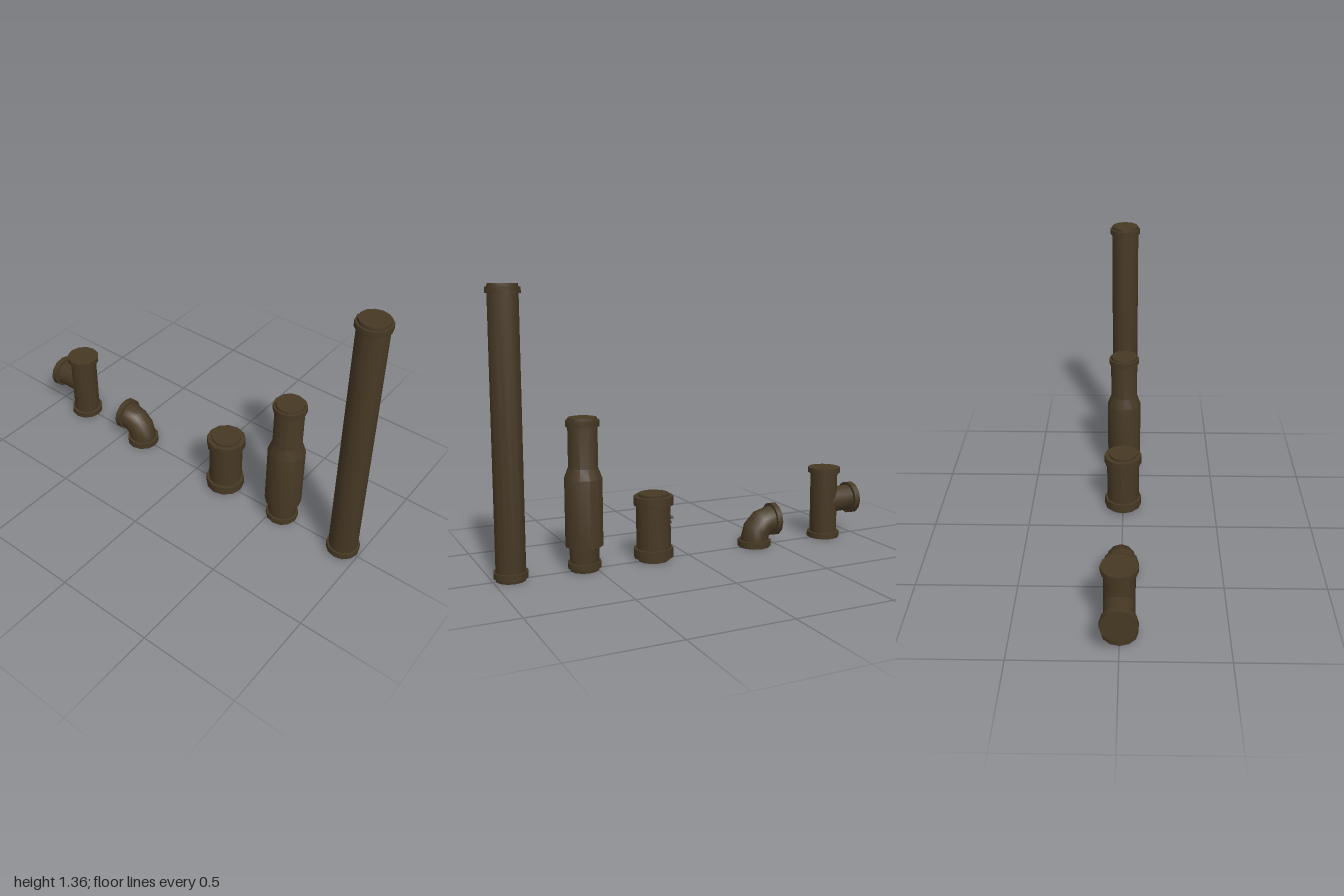
import * as THREE from 'three';
import { toCreasedNormals } from 'three/addons/utils/BufferGeometryUtils.js';

const SIDES = 12;

export function createModel() {
  const model = new THREE.Group();
  model.name = 'pipeSet';
  const iron = new THREE.MeshStandardMaterial({ color: 0x463824 });
  iron.name = 'darkBrownIron';

  const group = (name, z) => {
    const g = new THREE.Group();
    g.name = name;
    g.position.z = z;
    model.add(g);
    return g;
  };
  const add = (parent, name, geometry, y = 0, z = 0) => {
    const mesh = new THREE.Mesh(geometry, iron);
    mesh.name = name;
    mesh.position.set(0, y, z);
    parent.add(mesh);
    return mesh;
  };
  // Closed turned solid from [radius, height] pairs, listed bottom to top
  const turned = (profile, sides = SIDES) => {
    const top = profile[profile.length - 1][1];
    const points = [[0, profile[0][1]], ...profile, [0, top]];
    const lathe = new THREE.LatheGeometry(points.map(([r, y]) => new THREE.Vector2(r, y)), sides);
    return toCreasedNormals(lathe, 0.6);
  };
  // The same solid lying down, pointing to the back
  const turnedBack = (profile, sides) => turned(profile, sides).rotateX(-Math.PI / 2);
  // Raised ring around a pipe
  const collar = (r, y0, y1) => turned([[r, y0], [r, y1]]);

  // Long straight pipe
  const long = group('longPipe', 0.915);
  add(long, 'pipe', turned([[0.07, 0], [0.072, 0.015], [0.072, 1.345], [0.07, 1.36]]));
  add(long, 'bottomCollar', collar(0.082, 0.015, 0.045));
  add(long, 'topCollar', collar(0.082, 1.317, 1.345));

  // Medium pipe with a thick sleeve that tapers into the neck
  const sleeved = group('sleevedPipe', 0.555);
  add(sleeved, 'pipe', turned([
    [0.07, 0], [0.072, 0.015], [0.072, 0.122], [0.092, 0.122],
    [0.092, 0.45], [0.072, 0.502], [0.072, 0.727], [0.07, 0.74],
  ]));
  add(sleeved, 'bottomCollar', collar(0.082, 0.015, 0.043));
  add(sleeved, 'topCollar', collar(0.082, 0.698, 0.727));

  // Short wide coupling with two small studs on its back
  const coupling = group('coupling', 0.193);
  add(coupling, 'barrel', turned([[0.076, 0], [0.076, 0.018], [0.086, 0.018], [0.086, 0.325], [0.076, 0.325], [0.076, 0.34]]));
  add(coupling, 'bottomCollar', collar(0.099, 0.018, 0.065));
  add(coupling, 'topCollar', collar(0.099, 0.282, 0.327));
  add(coupling, 'upperStud', turnedBack([[0.008, 0], [0.008, 0.107]], 8), 0.206, 0);
  add(coupling, 'lowerStud', turnedBack([[0.006, 0], [0.006, 0.098]], 8), 0.182, 0);

  // Elbow: quarter bend in three segments with a flange on each end
  const elbow = group('elbow', -0.384);
  const bend = new THREE.TorusGeometry(0.097, 0.072, SIDES, 3, Math.PI / 2).rotateY(-Math.PI / 2);
  add(elbow, 'bend', bend, 0.033, -0.097);
  add(elbow, 'bottomFlange', collar(0.086, 0, 0.033));
  add(elbow, 'backFlange', turnedBack([[0.086, 0], [0.086, 0.03]]), 0.131, -0.096);

  // Tee: upright pipe with a branch to the back
  const tee = group('tee', -0.818);
  add(tee, 'pipe', collar(0.072, 0.01, 0.37));
  add(tee, 'bottomFlange', collar(0.086, 0, 0.03));
  add(tee, 'topFlange', collar(0.086, 0.354, 0.382));
  add(tee, 'branch', turnedBack([[0.07, 0], [0.07, 0.16]]), 0.198, 0);
  add(tee, 'branchFlange', turnedBack([[0.086, 0.15], [0.086, 0.182]]), 0.198, 0);

  return model;
}
